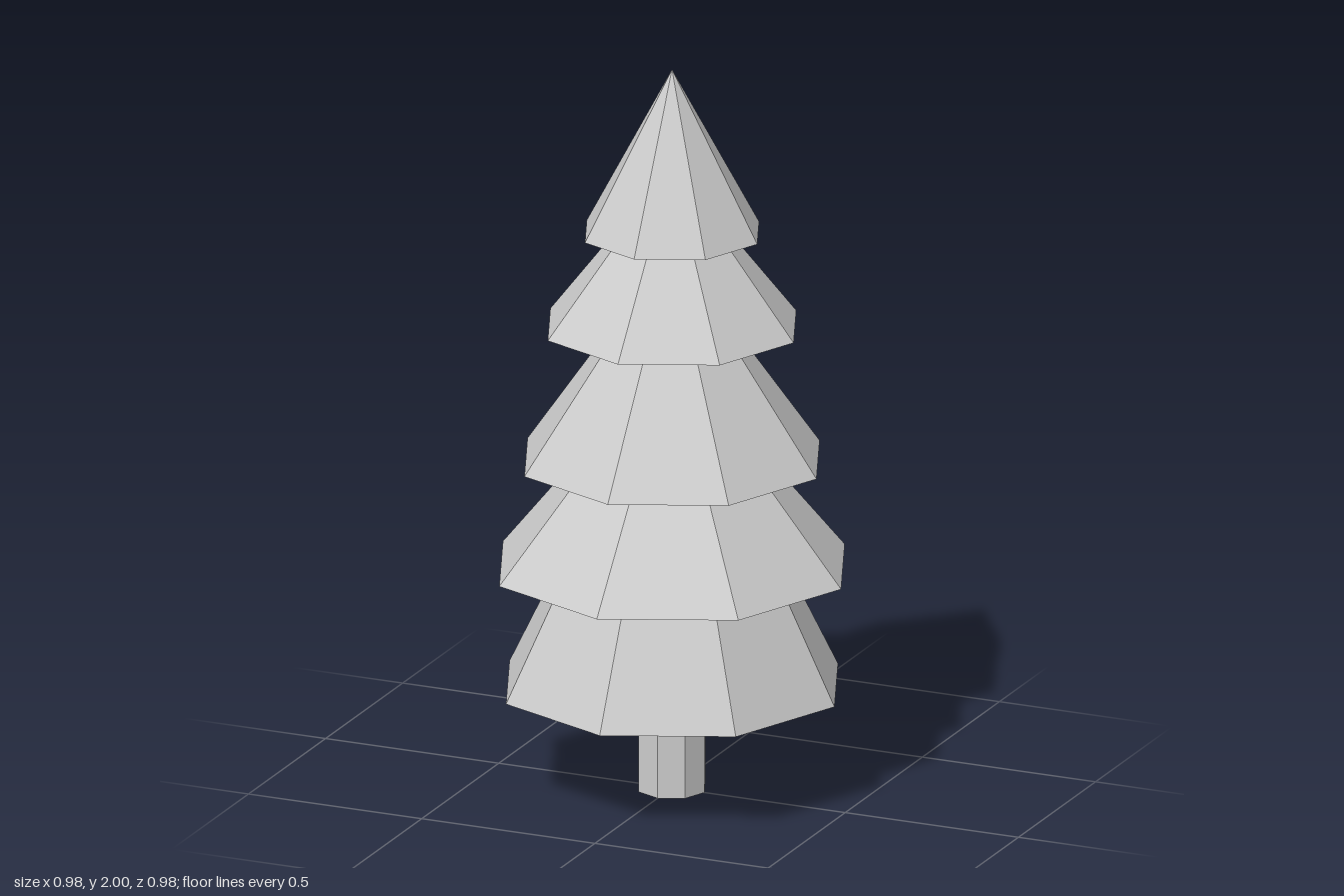
import * as THREE from 'three';

export function createModel() {
  const tree = new THREE.Group();
  tree.name = 'firTree';

  const grey = new THREE.MeshStandardMaterial({ color: 0xcccccc, flatShading: true, side: THREE.DoubleSide });
  grey.name = 'light grey';

  // Eight-sided tapered section with corners on the x and z axes
  const addSection = (name, y0, y1, rBottom, rTop, open = false) => {
    const geometry = new THREE.CylinderGeometry(rTop, rBottom, y1 - y0, 8, 1, open);
    const mesh = new THREE.Mesh(geometry, grey);
    mesh.name = name;
    mesh.position.y = (y0 + y1) / 2;
    tree.add(mesh);
  };

  // Hollow trunk, open at the bottom
  addSection('trunk', 0, 0.29, 0.094, 0.094, true);

  // Foliage tiers from bottom to top: base y, top y, base radius, top radius
  [
    [0.29, 0.62, 0.469, 0.306],
    [0.62, 0.917, 0.488, 0.244],
    [0.917, 1.287, 0.417, 0.156],
    [1.287, 1.547, 0.351, 0.147],
    [1.547, 2, 0.246, 0],
  ].forEach((tier, i) => addSection(`foliageTier${i + 1}`, ...tier));

  return tree;
}
